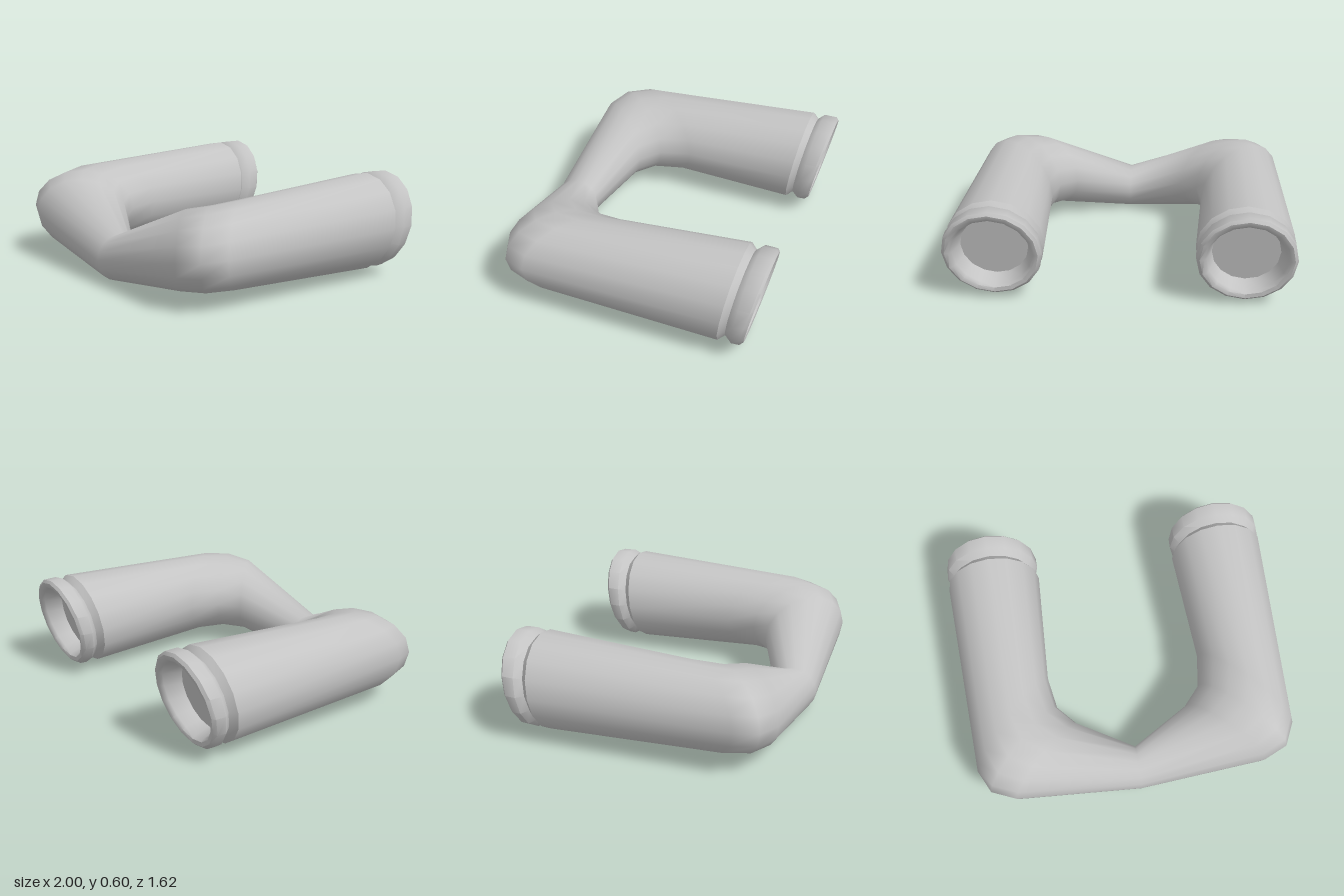
import * as THREE from 'three';
import { toCreasedNormals } from 'three/addons/utils/BufferGeometryUtils.js';

const SIDES = 16;

// A ring spans from an inner to an outer point in plan (x, z), with bottom and top heights;
// lean shifts its top backward or forward in z.
function ring(outer, inner, bottom, top, lean = 0) {
  return {
    c: new THREE.Vector3((outer[0] + inner[0]) / 2, (bottom + top) / 2, (outer[1] + inner[1]) / 2),
    u: new THREE.Vector3((outer[0] - inner[0]) / 2, 0, (outer[1] - inner[1]) / 2),
    v: new THREE.Vector3(0, (top - bottom) / 2, lean),
  };
}

// Mirrored rings in reverse order keep the skin facing outward
function mirror(rings) {
  const flip = new THREE.Vector3(-1, 1, 1);
  return rings.map(({ c, u, v }) => ({
    c: c.clone().multiply(flip), u: u.clone().multiply(flip), v: v.clone(),
  })).reverse();
}

function skin(rings) {
  const pos = [], index = [];
  rings.forEach(({ c, u, v }, i) => {
    for (let j = 0; j < SIDES; j++) {
      const a = (j / SIDES) * Math.PI * 2;
      const p = c.clone().addScaledVector(u, Math.cos(a)).addScaledVector(v, Math.sin(a));
      pos.push(p.x, p.y, p.z);
      if (i === rings.length - 1) continue;
      const k = (j + 1) % SIDES, n = i * SIDES;
      index.push(n + j, n + k, n + SIDES + j, n + k, n + SIDES + k, n + SIDES + j);
    }
  });
  const g = new THREE.BufferGeometry();
  g.setAttribute('position', new THREE.Float32BufferAttribute(pos, 3));
  g.setIndex(index);
  g.computeVertexNormals();
  return g;
}

// Round slanted section of a leg, from its z at the top and at the bottom
function legRing(zTop, zBottom, r) {
  const z = (zTop + zBottom) / 2, x = 0.715, y = 0.312;
  return ring([x + r, z], [x - r, z], y - r, y + r, (zTop - zBottom) / 2);
}

export function createModel() {
  const group = new THREE.Group();
  const grey = new THREE.MeshStandardMaterial({ color: 0xc4c4c4 });
  grey.name = 'light grey';
  const add = (name, geometry) => {
    const mesh = new THREE.Mesh(geometry, grey);
    mesh.name = name;
    group.add(mesh);
  };

  // Bent tube: leg, elbow, then taper to the narrow middle
  const half = [
    legRing(-0.645, -0.555, 0.285),
    ring([0.957, 0.59], [0.465, 0.08], 0.07, 0.555),
    ring([0.893, 0.725], [0.435, 0.27], 0.068, 0.535),
    ring([0.75, 0.785], [0.335, 0.38], 0.063, 0.505),
  ];
  const middle = ring([0, 0.805], [0, 0.545], 0, 0.27);
  add('bentTube', skin([...half, middle, ...mirror(half)]));

  // Collars: recessed floor, flared mouth, rounded lip, rim and groove
  const collar = [
    legRing(-0.63, -0.63, 0),
    legRing(-0.67, -0.59, 0.195),
    legRing(-0.785, -0.68, 0.225),
    legRing(-0.805, -0.697, 0.24),
    legRing(-0.812, -0.697, 0.265),
    legRing(-0.8, -0.675, 0.283),
    legRing(-0.72, -0.635, 0.285),
    legRing(-0.68, -0.593, 0.25),
    legRing(-0.645, -0.555, 0.285),
  ];
  add('leftCollar', toCreasedNormals(skin(collar), 0.85));
  add('rightCollar', toCreasedNormals(skin(mirror(collar)), 0.85));

  return group;
}
